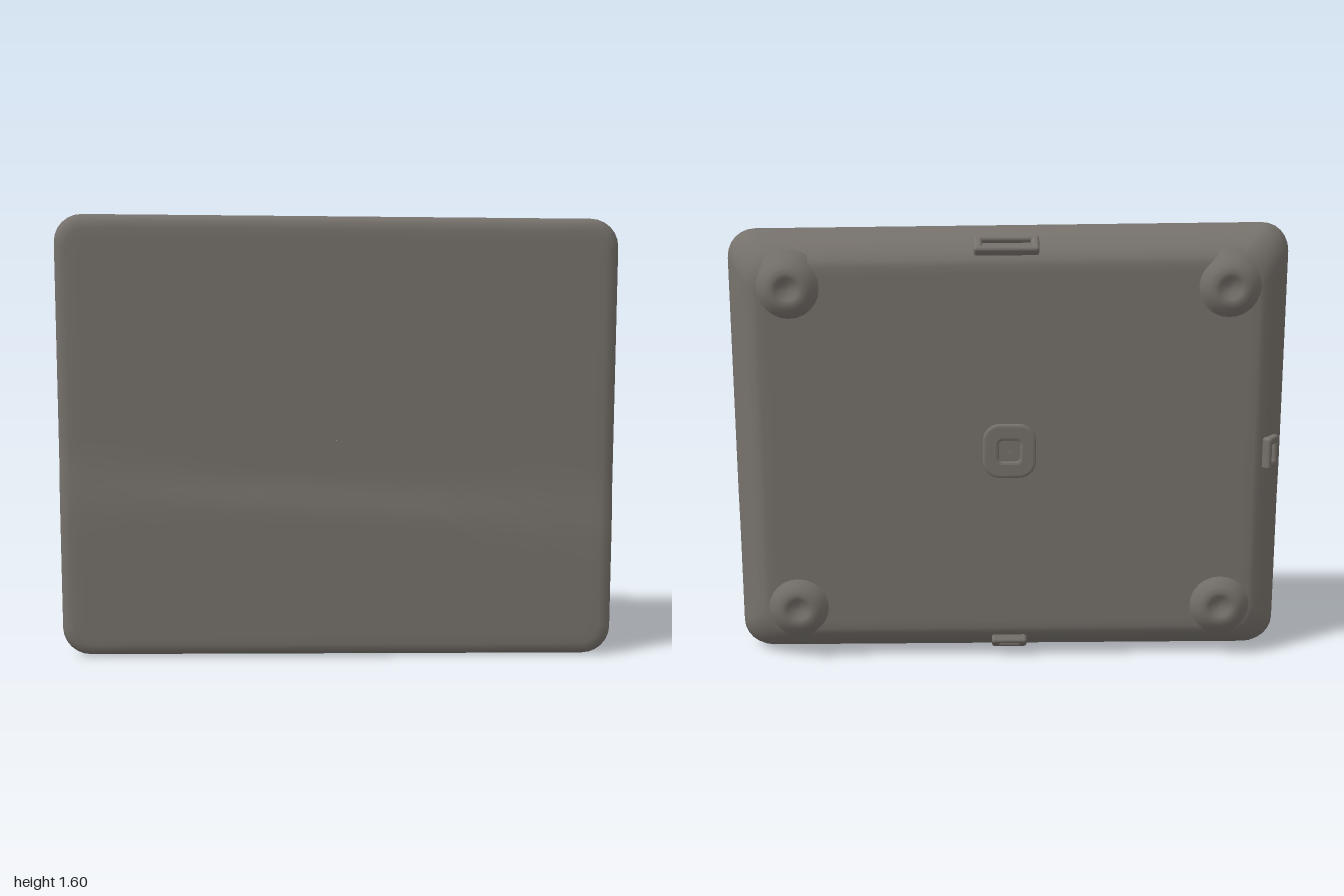
import * as THREE from 'three';
import { RoundedBoxGeometry } from 'three/addons/geometries/RoundedBoxGeometry.js';

const MID = 0.8;

// Points of a rounded rectangle, counter-clockwise, with subdivided sides
function roundedRect(hx, hy, r, arc = 6, side = 14) {
  const pts = [];
  const corners = [[1, 1], [-1, 1], [-1, -1], [1, -1]];
  corners.forEach(([sx, sy], q) => {
    const cx = sx * (hx - r), cy = sy * (hy - r);
    for (let i = 0; i <= arc; i++) {
      const a = (q + i / arc) * Math.PI / 2;
      pts.push(new THREE.Vector2(cx + r * Math.cos(a), cy + r * Math.sin(a)));
    }
    const [nx, ny] = corners[(q + 1) % 4];
    const a = (q + 1) * Math.PI / 2;
    const from = pts[pts.length - 1];
    const to = new THREE.Vector2(nx * (hx - r) + r * Math.cos(a), ny * (hy - r) + r * Math.sin(a));
    for (let i = 1; i < side; i++) pts.push(from.clone().lerp(to, i / side));
  });
  return pts;
}

// Gentle thickening of the lower front, with a slanting step across the panel
function frontSwell(x, y) {
  const step = 0.56 - 0.05 * x;
  return 0.014 * (1 - THREE.MathUtils.smoothstep(y, step - 0.04, step + 0.1));
}

// Body: rounded rectangles lofted from back centre to front centre
function slabGeometry() {
  const rings = [];
  const addRing = (z, inset, r, scale = 1) =>
    rings.push(roundedRect(1 - inset, 0.8 - inset, r).map(p => [p.x * scale, p.y * scale, z]));
  const steps = 22;
  for (let i = 0; i < steps; i++) addRing(-0.09, 0.12, 0.08, 0.001 + i / steps);
  // [z, inset, corner radius]
  [[-0.09, 0.12, 0.08], [-0.084, 0.098, 0.09], [-0.065, 0.07, 0.1], [-0.03, 0.04, 0.1],
    [0.01, 0.016, 0.1], [0.045, 0.002, 0.1], [0.065, 0, 0.1], [0.083, 0.006, 0.1],
    [0.096, 0.02, 0.09], [0.101, 0.045, 0.075]].forEach(s => addRing(...s));
  for (let i = steps - 1; i >= 0; i--) addRing(0.101, 0.045, 0.075, 0.001 + i / steps);

  const n = rings[0].length, pos = [], idx = [];
  rings.forEach(ring => ring.forEach(([x, y, z]) => {
    const h = y + MID;
    const lift = z > 0 ? frontSwell(x, h) * Math.min(1, z / 0.09) : 0;
    pos.push(x, h * (1 - 0.006 * (x + 1)), z + lift);
  }));
  for (let k = 0; k < rings.length - 1; k++) {
    for (let i = 0; i < n; i++) {
      const j = (i + 1) % n, a = k * n + i, b = k * n + j;
      idx.push(a, b, b + n, a, b + n, a + n);
    }
  }
  const g = new THREE.BufferGeometry();
  g.setAttribute('position', new THREE.Float32BufferAttribute(pos, 3));
  g.setIndex(idx);
  g.computeVertexNormals();
  return g;
}

export function createModel() {
  const model = new THREE.Group();
  model.name = 'slab';
  const grey = new THREE.MeshStandardMaterial({ color: 0x76716b });
  grey.name = 'warm grey';
  const add = (name, geometry, parent = model) => {
    const mesh = new THREE.Mesh(geometry, grey);
    mesh.name = name;
    parent.add(mesh);
    return mesh;
  };

  add('body', slabGeometry());

  // Four domed feet with a dimple, on the back
  const footProfile = [[0.14, 0], [0.125, 0.012], [0.1, 0.032], [0.08, 0.046], [0.06, 0.051],
    [0.042, 0.049], [0.026, 0.036], [0, 0.034]].map(p => new THREE.Vector2(...p));
  const footGeometry = new THREE.LatheGeometry(footProfile, 24).rotateX(-Math.PI / 2);
  for (const x of [-0.775, 0.775]) {
    for (const y of [0.205, 1.395]) {
      const foot = add('foot', footGeometry);
      foot.position.set(x, y, -0.07);
      foot.scale.set(0.95, 0.95, 1);
    }
  }

  // Plain raised frame in the middle of the back
  const frameShape = new THREE.Shape(roundedRect(0.085, 0.09, 0.05, 6, 2));
  frameShape.holes.push(new THREE.Path(roundedRect(0.048, 0.05, 0.025, 6, 2).reverse()));
  const frame = add('backFrame', new THREE.ExtrudeGeometry(frameShape, {
    depth: 0.012, bevelEnabled: true, bevelThickness: 0.007, bevelSize: 0.01, bevelSegments: 2,
  }));
  frame.position.set(0, MID, -0.095);

  // Slotted sockets on the sloping rim: top, bottom and one side
  const socket = (name, length, x, y, turn) => {
    const group = new THREE.Group();
    group.name = name;
    group.position.set(x, y, -0.05);
    group.rotation.z = turn;
    const tilted = new THREE.Group();
    tilted.rotation.x = -0.6;
    group.add(tilted);
    for (const s of [-1, 1]) {
      add('socketLip', new RoundedBoxGeometry(length, 0.04, 0.024, 3, 0.011), tilted)
        .position.set(0, 0, s * 0.026);
      add('socketEnd', new RoundedBoxGeometry(0.03, 0.04, 0.07, 3, 0.011), tilted)
        .position.set(s * (length / 2 - 0.015), 0, 0);
    }
    model.add(group);
  };
  socket('topSocket', 0.23, 0.01, 1.535, 0);
  socket('bottomSocket', 0.13, 0, 0.055, Math.PI);
  socket('sideSocket', 0.12, -0.945, 0.78, Math.PI / 2);

  return model;
}
